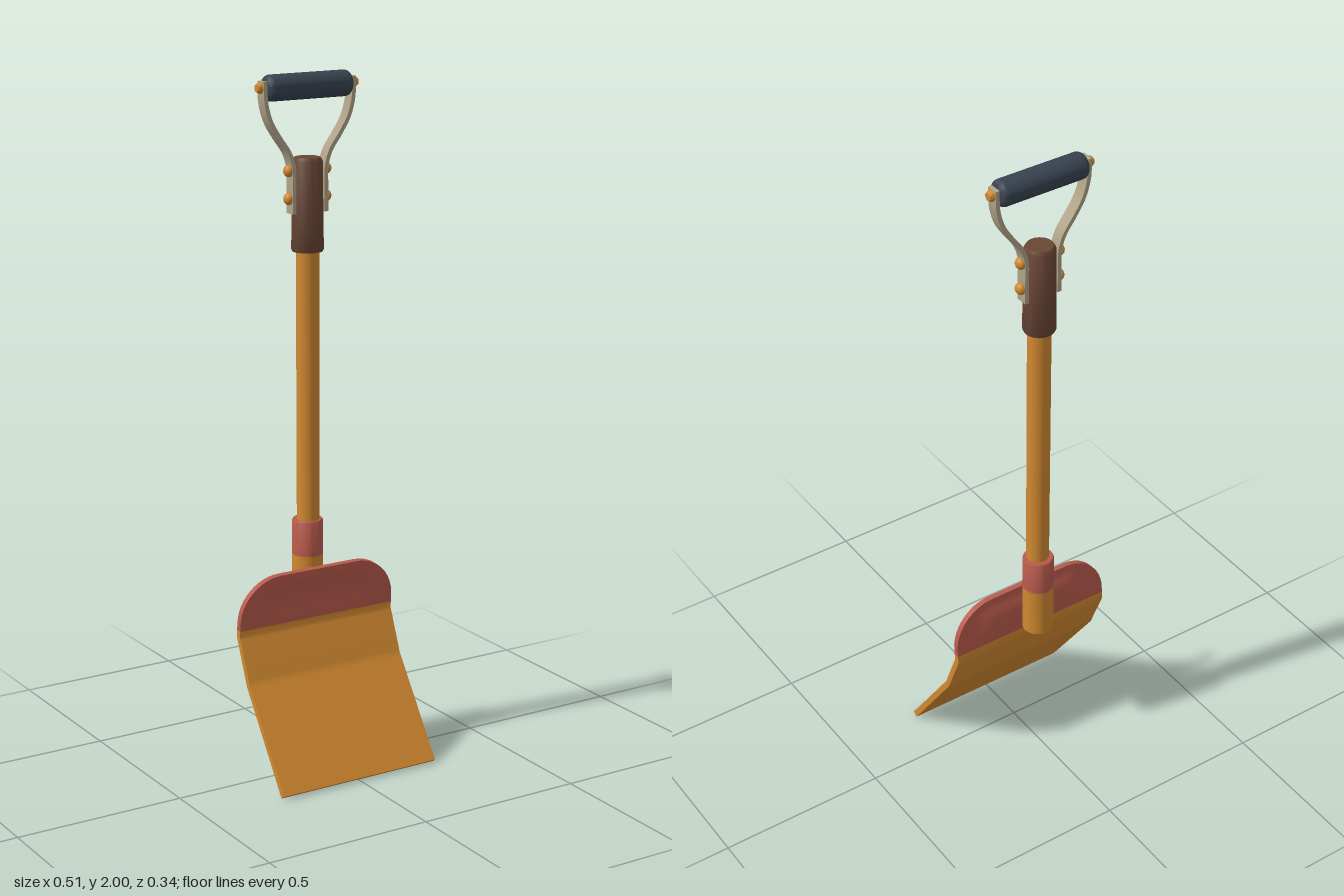
import * as THREE from 'three';
import { toCreasedNormals } from 'three/addons/utils/BufferGeometryUtils.js';

const mat = (name, color, side = THREE.FrontSide) => {
  const m = new THREE.MeshStandardMaterial({ color, side });
  m.name = name;
  return m;
};

const AXIS_Z = -0.12; // the handle stands behind the blade

export function createModel() {
  const orange = mat('orange', 0xd08830);
  const red = mat('red', 0xb85a4c);
  const brown = mat('brown', 0x6a4635);
  const navy = mat('navy', 0x38424f);
  const metal = mat('metal', 0xb0a388);

  const group = new THREE.Group();
  const add = (name, geometry, material, x = 0, y = 0, z = AXIS_Z) => {
    const mesh = new THREE.Mesh(geometry, material);
    mesh.name = name;
    mesh.position.set(x, y, z);
    group.add(mesh);
    return mesh;
  };
  // Turned solid; points run from the bottom of the axis to its top
  const turned = (points, sides = 32) => toCreasedNormals(
    new THREE.LatheGeometry(points.map(([r, y]) => new THREE.Vector2(r, y)), sides), 0.6);

  // Shaft, blade socket and upper collar
  add('shaft', turned([[0, 0.47], [0.033, 0.47], [0.033, 1.53], [0, 1.53]]), orange);
  add('socketLower', turned([[0, 0.45], [0.041, 0.45], [0.045, 0.455], [0.045, 0.61], [0, 0.61]]), orange, 0, 0, -0.124);
  add('socketUpper', turned([[0, 0.61], [0.045, 0.61], [0.045, 0.71], [0.042, 0.715], [0, 0.715]]), red, 0, 0, -0.124);
  add('collar', turned([[0, 1.5], [0.043, 1.5], [0.046, 1.506], [0.043, 1.755], [0.037, 1.765], [0, 1.765]]), brown);

  // Grip with rounded ends
  const gripProfile = [[0, -0.136]];
  for (let i = 0; i <= 6; i++) {
    const a = (i / 6) * Math.PI / 2;
    gripProfile.push([0.02 + 0.017 * Math.sin(a), -0.119 - 0.017 * Math.cos(a)]);
  }
  const mirrored = gripProfile.map(([r, y]) => [r, -y]).reverse();
  add('grip', turned([...gripProfile, ...mirrored]), navy, 0, 1.963).rotation.z = Math.PI / 2;

  // Bent straps with their rivets and grip bolts
  const path = new THREE.CatmullRomCurve3([
    [0.052, 1.61], [0.052, 1.68], [0.053, 1.74], [0.067, 1.782], [0.098, 1.826],
    [0.126, 1.872], [0.141, 1.925], [0.143, 1.983],
  ].map(([x, y]) => new THREE.Vector3(x, y, 0)));
  for (const s of [1, -1]) {
    const side = s > 0 ? 'left' : 'right';
    const outer = [], inner = [];
    for (let i = 0; i <= 30; i++) {
      const p = path.getPoint(i / 30), t = path.getTangent(i / 30);
      outer.push(new THREE.Vector2(s * (p.x + t.y * 0.006), p.y - t.x * 0.006));
      inner.unshift(new THREE.Vector2(s * (p.x - t.y * 0.006), p.y + t.x * 0.006));
    }
    const strap = new THREE.ExtrudeGeometry(new THREE.Shape([...outer, ...inner]), { depth: 0.035, bevelEnabled: false });
    strap.translate(0, 0, -0.0175);
    add(side + 'Strap', toCreasedNormals(strap, 0.6), metal);
    for (const y of [1.652, 1.73]) {
      add(side + 'Rivet', new THREE.SphereGeometry(0.017, 20, 14), orange, s * 0.061, y).scale.x = 0.85;
    }
    add(side + 'GripBolt', turned([[0, 0], [0.016, 0], [0.015, 0.008], [0.011, 0.015], [0, 0.015]], 20),
      orange, s * 0.147, 1.965).rotation.z = -s * Math.PI / 2;
  }

  add('blade', bladeGeometry(), [red, orange], 0, 0, 0);
  return group;
}

// Bent sheet with rounded top corners and a shallow pressed panel
function bladeGeometry() {
  const profile = [[0.58, -0.068], [0.41, -0.083], [0.28, -0.03], [0.0053, 0.161]];
  const HALF = 0.257, R = 0.13, T = 0.009, COLS = 28;
  const depthAt = (y) => {
    let k = 0;
    while (k < 2 && y < profile[k + 1][0]) k++;
    const [y0, z0] = profile[k], [y1, z1] = profile[k + 1];
    return z0 + (z1 - z0) * (y - y0) / (y1 - y0);
  };
  const { smoothstep } = THREE.MathUtils;
  const panel = (x, y) => 0.007 * (1 - smoothstep(Math.abs(x), 0.13, 0.19))
    * smoothstep(y, 0.44, 0.48) * (1 - smoothstep(y, 0.52, 0.56));

  const rows = [];
  for (let i = 0; i <= 12; i++) {
    const a = (i / 12) * Math.PI / 2;
    rows.push([0.45 + R * Math.cos(a), HALF - R + R * Math.sin(a)]);
  }
  const seam = rows.length; // colour changes at the next row
  for (const y of [0.43, 0.41, 0.4, 0.345, 0.29, 0.28, 0.27, 0.18, 0.09, 0.0053]) rows.push([y, HALF]);

  // Each row is one closed ring: across the front, then back behind
  const pos = [], index = [], ring = 2 * (COLS + 1);
  for (const [y, w] of rows) {
    const ya = Math.min(0.58, y + 0.004), yb = Math.max(0.0053, y - 0.004);
    const n = new THREE.Vector2(ya - yb, depthAt(yb) - depthAt(ya)).normalize(); // (z, y)
    for (const f of [1, -1]) {
      for (let j = 0; j <= COLS; j++) {
        const x = f * w * (2 * j / COLS - 1);
        pos.push(x, y + f * T * n.y, depthAt(y) + f * T * n.x - panel(x, y));
      }
    }
  }
  const cap = (base, flip) => {
    for (let j = 0; j < COLS; j++) {
      const a = base + j, b = a + 1, d = base + ring - 1 - j, c = d - 1;
      if (flip) index.push(a, c, b, a, d, c);
      else index.push(a, b, c, a, c, d);
    }
  };
  cap(0, false);
  let redCount = 0;
  for (let i = 0; i < rows.length - 1; i++) {
    for (let j = 0; j < ring; j++) {
      const a = i * ring + j, b = i * ring + (j + 1) % ring;
      index.push(a, a + ring, b, b, a + ring, b + ring);
    }
    if (i === seam - 1) redCount = index.length;
  }
  cap((rows.length - 1) * ring, true);

  const g = new THREE.BufferGeometry();
  g.setAttribute('position', new THREE.Float32BufferAttribute(pos, 3));
  g.setIndex(index);
  g.addGroup(0, redCount, 0);
  g.addGroup(redCount, index.length - redCount, 1);
  return toCreasedNormals(g, 0.7);
}
